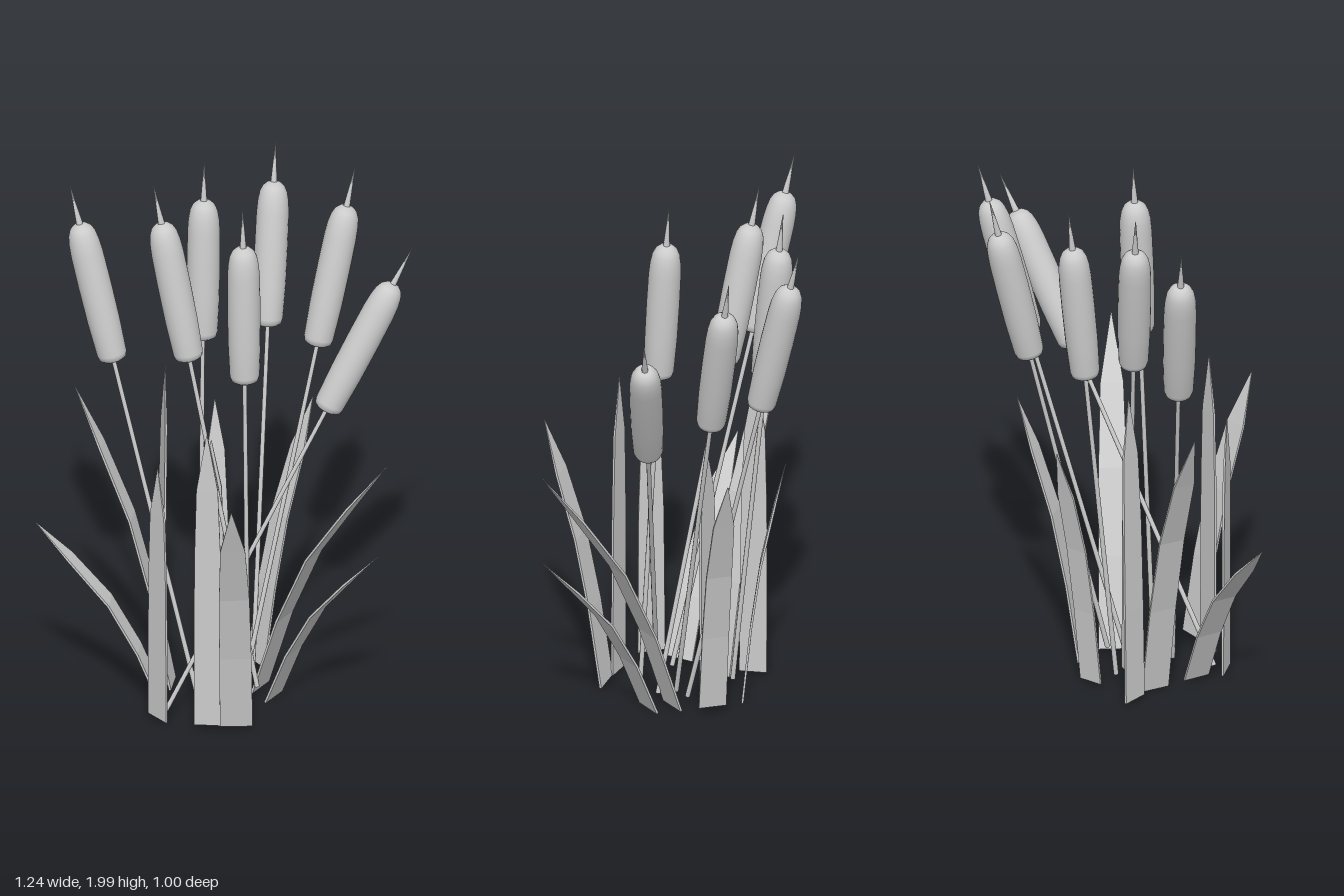
import * as THREE from 'three';

const V = (x, y, z) => new THREE.Vector3(x, y, z);
const P = (r, y) => new THREE.Vector2(r, y);

export function createModel() {
  const group = new THREE.Group();
  const smooth = new THREE.MeshStandardMaterial({ color: 0xcccccc });
  const flat = new THREE.MeshStandardMaterial({ color: 0xcccccc, flatShading: true, side: THREE.DoubleSide });

  // Seed head: straight sides, rounded ends; y = 0 at its lower end
  const headProfile = [
    P(0, 0), P(0.036, 0.003), P(0.049, 0.012), P(0.054, 0.03), P(0.059, 0.16), P(0.06, 0.3), P(0.059, 0.42),
    P(0.056, 0.465), P(0.05, 0.498), P(0.04, 0.52), P(0.024, 0.534), P(0, 0.538),
  ];
  const headGeo = new THREE.LatheGeometry(headProfile, 24);
  const spikeGeo = new THREE.CylinderGeometry(0.001, 0.013, 0.16, 8);

  // Reed: stem, seed head and pointed spike along one leaning axis
  function addReed(base, tip) {
    const reed = new THREE.Group();
    reed.name = 'reed';
    const axis = tip.clone().sub(base);
    const length = axis.length();
    reed.position.copy(base);
    reed.quaternion.setFromUnitVectors(V(0, 1, 0), axis.normalize());

    const stemLength = length - 0.66;
    const stem = new THREE.Mesh(new THREE.CylinderGeometry(0.008, 0.009, stemLength, 8), smooth);
    stem.name = 'stem';
    stem.position.y = stemLength / 2;
    const head = new THREE.Mesh(headGeo, smooth);
    head.name = 'seedHead';
    head.position.y = length - 0.685;
    const spike = new THREE.Mesh(spikeGeo, smooth);
    spike.name = 'spike';
    spike.position.y = length - 0.08;
    reed.add(stem, head, spike);
    group.add(reed);
  }

  // Leaf: thin strip with base edge a-b, bending outward and tapering to the tip
  const sections = [ // height share, outward share, width share
    [0, 0, 1], [0.3, 0.19, 0.98], [0.57, 0.42, 0.93], [0.81, 0.73, 0.76], [1, 1, 0.03],
  ];
  function addLeaf([ax, az], [bx, bz], tip, baseY = 0.025) {
    const base = V((ax + bx) / 2, baseY, (az + bz) / 2);
    const half = V((bx - ax) / 2, 0, (bz - az) / 2);
    const spine = sections.map(([h, out]) => V(
      THREE.MathUtils.lerp(base.x, tip.x, out),
      THREE.MathUtils.lerp(base.y, tip.y, h),
      THREE.MathUtils.lerp(base.z, tip.z, out)));
    const positions = [];
    const index = [];
    spine.forEach((p, i) => {
      const along = spine[Math.min(i + 1, 4)].clone().sub(spine[Math.max(i - 1, 0)]);
      const normal = half.clone().cross(along).normalize().multiplyScalar(i === 4 ? 0.001 : 0.004);
      for (const [w, n] of [[-1, -1], [1, -1], [1, 1], [-1, 1]]) {
        const c = p.clone().addScaledVector(half, w * sections[i][2]).addScaledVector(normal, n);
        positions.push(c.x, c.y, c.z);
      }
      if (i === 4) return;
      for (let k = 0; k < 4; k++) {
        const a = i * 4 + k, b = i * 4 + (k + 1) % 4;
        index.push(a, a + 4, b + 4, a, b + 4, b);
      }
    });
    index.push(0, 1, 2, 0, 2, 3, 19, 18, 17, 19, 17, 16);
    const geo = new THREE.BufferGeometry();
    geo.setAttribute('position', new THREE.Float32BufferAttribute(positions, 3));
    geo.setIndex(index);
    geo.computeVertexNormals();
    const leaf = new THREE.Mesh(geo, flat);
    leaf.name = 'leaf';
    group.add(leaf);
  }

  addReed(V(-0.08, 0.06, 0.19), V(-0.62, 1.97, 0.193));
  addReed(V(0.085, 0.06, 0.042), V(-0.36, 1.98, 0.042));
  addReed(V(-0.2, 0.06, -0.02), V(-0.298, 1.985, -0.196));
  addReed(V(0.012, 0.06, -0.04), V(-0.173, 1.98, -0.475));
  addReed(V(0.02, 0.06, 0.02), V(0.152, 1.96, -0.5));
  addReed(V(-0.113, 0.04, 0.337), V(0.458, 1.76, -0.405));
  addReed(V(0.103, 0.06, 0.128), V(0.03, 2.0, 0.053));

  // Leaning leaves
  addLeaf([0.06, 0.04], [0.06, -0.07], V(0.617, 1.1, 0.005));
  addLeaf([0.14, 0.075], [0.14, -0.035], V(0.596, 0.737, 0.03));
  addLeaf([-0.25, 0.07], [-0.208, 0.167], V(-0.565, 1.185, 0.243), 0.012);
  addLeaf([-0.195, 0.225], [-0.15, 0.315], V(-0.575, 0.737, 0.486));
  addLeaf([0.015, -0.115], [-0.08, -0.15], V(0.06, 1.055, -0.362), 0.045);
  addLeaf([0.1, 0.31], [0.197, 0.243], V(0.268, 1.028, 0.493));
  addLeaf([-0.155, -0.145], [-0.21, -0.075], V(-0.28, 1.0, -0.238));

  // Upright leaves
  addLeaf([-0.17, 0.365], [-0.073, 0.395], V(-0.12, 1.045, 0.383));
  addLeaf([0.015, 0.35], [0.105, 0.302], V(0.055, 1.21, 0.328));
  addLeaf([-0.367, 0.005], [-0.295, 0.075], V(-0.326, 1.24, 0.018));
  addLeaf([-0.178, 0.05], [-0.08, 0.01], V(-0.12, 1.0, 0.03));

  return group;
}
